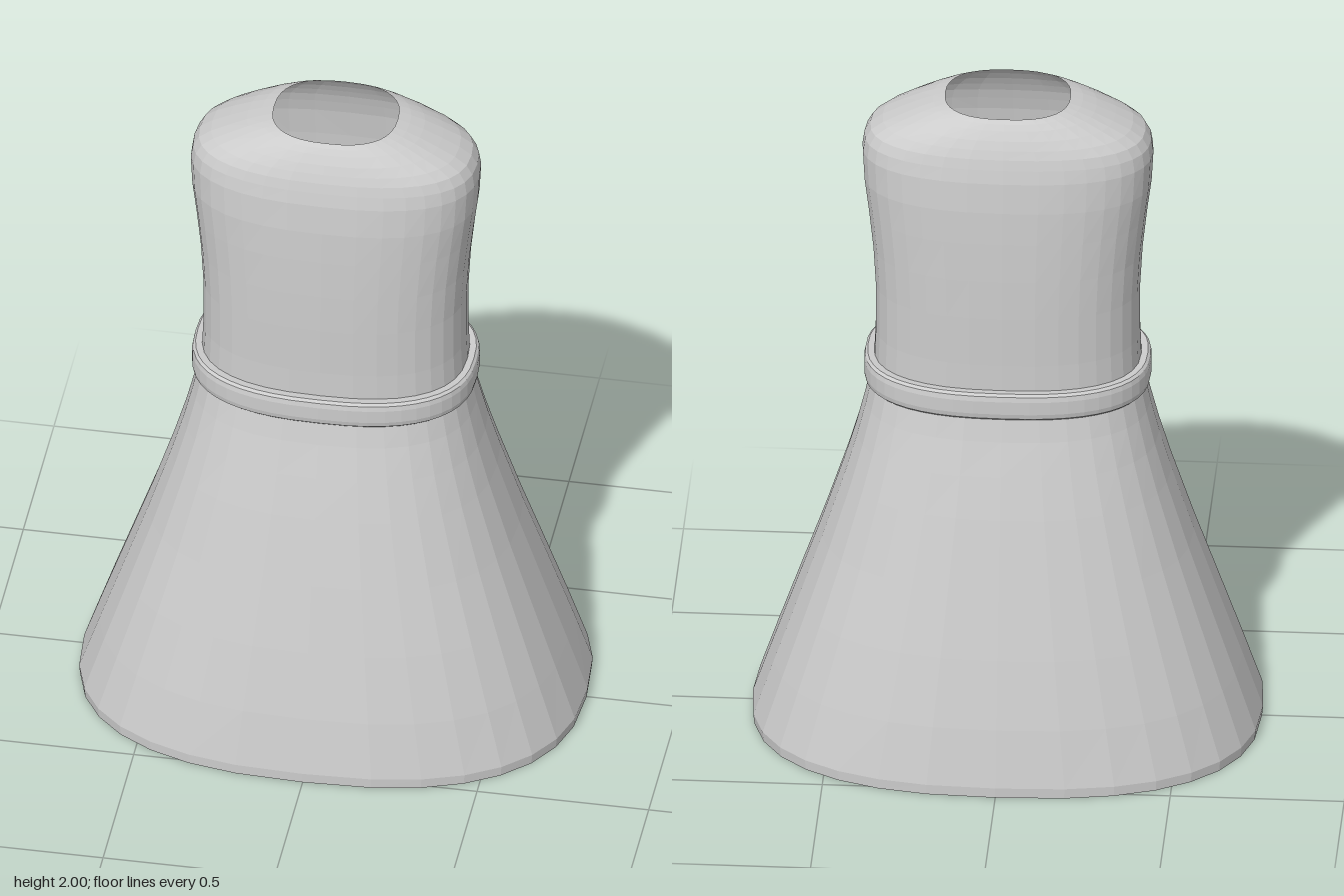
import * as THREE from 'three';

const fabric = new THREE.MeshStandardMaterial({ color: 0xcccccc, flatShading: true, side: THREE.DoubleSide });
fabric.name = 'light grey fabric';

// Point on a rounded-oval cross-section with half widths rx, rz
function ovalPoint(rx, rz, angle, power = 2.5) {
  const bend = (v) => Math.sign(v) * Math.pow(Math.abs(v), 2 / power);
  return [rx * bend(Math.cos(angle)), rz * bend(Math.sin(angle))];
}

// Skin a stack of [y, rx, rz] rings, listed from bottom to top
function loft(name, rings, segments) {
  const positions = [];
  const index = [];
  for (const [y, rx, rz] of rings) {
    for (let i = 0; i < segments; i++) {
      const [x, z] = ovalPoint(rx, rz, (i / segments) * Math.PI * 2);
      positions.push(x, y, z);
    }
  }
  for (let r = 0; r < rings.length - 1; r++) {
    for (let i = 0; i < segments; i++) {
      const a = r * segments + i;
      const b = r * segments + ((i + 1) % segments);
      const c = a + segments;
      const d = b + segments;
      index.push(a, c, b, b, c, d);
    }
  }
  const geometry = new THREE.BufferGeometry();
  geometry.setAttribute('position', new THREE.Float32BufferAttribute(positions, 3));
  geometry.setIndex(index);
  geometry.computeVertexNormals();
  const mesh = new THREE.Mesh(geometry, fabric);
  mesh.name = name;
  return mesh;
}

export function createModel() {
  const dress = new THREE.Group();
  dress.name = 'dress';

  // Flared skirt, open at the hem
  dress.add(loft('skirt', [
    [0, 0.73, 0.545], [0.03, 0.733, 0.545], [0.2, 0.675, 0.51], [0.4, 0.605, 0.46],
    [0.6, 0.535, 0.407], [0.8, 0.47, 0.353], [0.92, 0.435, 0.318],
    [1.02, 0.41, 0.288], [1.1, 0.393, 0.268], [1.14, 0.385, 0.258],
  ], 32));

  // Fitted bodice, rounding over the shoulders to the neck opening
  dress.add(loft('bodice', [
    [1.13, 0.385, 0.253], [1.25, 0.38, 0.25], [1.4, 0.38, 0.25], [1.52, 0.387, 0.248],
    [1.64, 0.4, 0.244], [1.74, 0.413, 0.239], [1.83, 0.418, 0.229], [1.87, 0.412, 0.22],
    [1.9, 0.395, 0.212], [1.925, 0.36, 0.202], [1.95, 0.31, 0.19], [1.975, 0.255, 0.174],
    [1.99, 0.215, 0.162], [2.0, 0.18, 0.15],
  ], 36));

  // Rounded belt at the waist
  dress.add(loft('belt', [
    [1.09, 0.38, 0.25], [1.088, 0.402, 0.275], [1.095, 0.409, 0.283], [1.11, 0.412, 0.286],
    [1.15, 0.412, 0.286], [1.165, 0.409, 0.283], [1.172, 0.402, 0.275], [1.17, 0.38, 0.25],
  ], 48));

  return dress;
}
